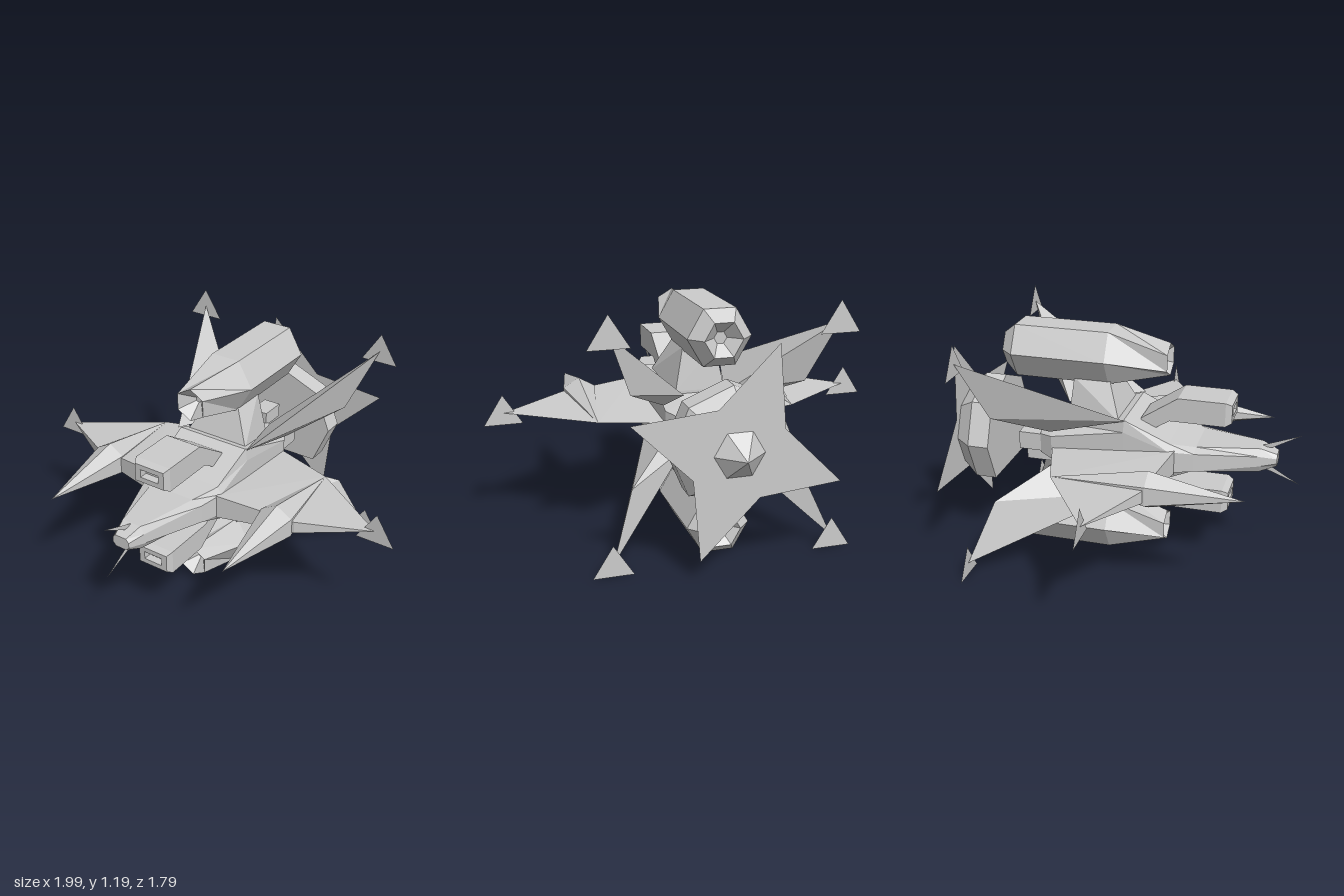
import * as THREE from 'three';
import { ConvexGeometry } from 'three/addons/geometries/ConvexGeometry.js';

const MID = 0.59; // height of the symmetry plane; part heights are offsets from it
const solid = new THREE.MeshStandardMaterial({ color: 0xcccccc, flatShading: true });
const sheet = new THREE.MeshStandardMaterial({ color: 0xcccccc, flatShading: true, side: THREE.DoubleSide });

// Closed skin through equal-length rings of [x, y, z], with fan caps, turned outward
function loft(rings) {
  const tris = [];
  const n = rings[0].length;
  for (let r = 0; r + 1 < rings.length; r++) {
    for (let i = 0; i < n; i++) {
      const j = (i + 1) % n;
      const [a, b, c, d] = [rings[r][i], rings[r][j], rings[r + 1][j], rings[r + 1][i]];
      tris.push([a, b, d], [b, c, d]);
    }
  }
  const last = rings[rings.length - 1];
  for (let i = 1; i + 1 < n; i++) {
    tris.push([rings[0][0], rings[0][i + 1], rings[0][i]], [last[0], last[i], last[i + 1]]);
  }
  let volume = 0;
  for (const [a, b, c] of tris) {
    volume += new THREE.Vector3(...a).dot(new THREE.Vector3(...b).cross(new THREE.Vector3(...c)));
  }
  if (volume < 0) tris.forEach((t) => t.reverse());
  const geo = new THREE.BufferGeometry();
  geo.setAttribute('position', new THREE.Float32BufferAttribute(tris.flat(2), 3));
  geo.computeVertexNormals();
  return geo;
}

const hull = (points) => new ConvexGeometry(points.map((p) => new THREE.Vector3(...p)));
const mirror = (points, sx, sy) => points.map(([x, y, z]) => [x * sx, y * sy, z]);
const ring = (n, r, z, turn = 0, cy = 0) => Array.from({ length: n }, (_, i) => {
  const a = turn + (i / n) * Math.PI * 2;
  return [r * Math.cos(a), cy + r * Math.sin(a), z];
});
const rect = (hw, y0, y1, z) => [[-hw, y0, z], [hw, y0, z], [hw, y1, z], [-hw, y1, z]];

export function createModel() {
  const model = new THREE.Group();
  const add = (name, geometry, material = solid) => {
    const mesh = new THREE.Mesh(geometry, material);
    mesh.name = name;
    mesh.position.y = MID;
    model.add(mesh);
    return mesh;
  };

  // Fuselage: z, half width, side band half height, top half width, top half height
  const stations = [
    [0.78, 0.045, 0.012, 0.03, 0.03], [0.7, 0.07, 0.025, 0.05, 0.06],
    [0.4, 0.17, 0.045, 0.12, 0.062], [0.28, 0.2, 0.055, 0.18, 0.09],
    [0.06, 0.2, 0.13, 0.19, 0.19], [-0.31, 0.19, 0.06, 0.1, 0.1], [-0.38, 0.15, 0.05, 0.09, 0.085],
  ];
  add('fuselage', loft(stations.map(([z, w, b, t, h]) => [
    [w, -b, z], [w, b, z], [t, h, z], [-t, h, z], [-w, b, z], [-w, -b, z], [-t, -h, z], [t, -h, z],
  ])));

  for (const s of [1, -1]) {
    // Hexagonal engine pod, recessed at both ends
    const cy = 0.45 * s;
    add('enginePod', loft([
      ring(6, 0.015, 0.17, Math.PI / 6, cy), ring(6, 0.082, 0.24, Math.PI / 6, cy),
      ring(6, 0.15, -0.05, 0, cy), ring(6, 0.15, -0.52, 0, cy),
      ring(6, 0.09, -0.585, 0, cy), ring(6, 0.03, -0.53, 0, cy),
    ]));
    add('podPylon', hull(mirror([
      ...rect(0.17, 0.12, 0.17, 0.03), ...rect(0.08, 0.25, 0.34, -0.04),
      ...rect(0.12, 0.1, 0.13, -0.24), ...rect(0.08, 0.25, 0.34, -0.22),
    ], 1, s)));

    // Forward gun: slanted arm, bevelled barrel and sunken muzzle
    const gun = [
      [[-0.095, 0.08, 0.12], [0.095, 0.08, 0.12], [0.095, 0.17, 0.12], [-0.095, 0.17, 0.12]],
      [[-0.095, 0.17, 0.26], [0.095, 0.17, 0.26], [0.095, 0.29, 0.3], [-0.095, 0.29, 0.3]],
      rect(0.095, 0.17, 0.29, 0.53), rect(0.08, 0.185, 0.275, 0.56),
      rect(0.05, 0.21, 0.25, 0.56), rect(0.05, 0.21, 0.25, 0.52),
    ];
    add('gun', loft(gun.map((r) => mirror(r, 1, s))));

    // Nose whisker
    const whisker = new THREE.BufferGeometry();
    whisker.setAttribute('position', new THREE.Float32BufferAttribute(
      [0, 0.05 * s, 0.68, 0, 0.05 * s, 0.75, 0, 0.13 * s, 0.89], 3));
    whisker.computeVertexNormals();
    add('noseWhisker', whisker, sheet);
  }

  // Thin triangular plate carried on every wing tip
  const plate = new THREE.ShapeGeometry(new THREE.Shape([
    new THREE.Vector2(0, 0.09), new THREE.Vector2(-0.095, -0.06), new THREE.Vector2(0.095, -0.06),
  ]));
  const addPlate = (x, y, z) => add('tipPlate', plate, sheet).position.set(x, MID + y, z);

  for (const sx of [1, -1]) {
    // Horizontal wing, inner and outer panels
    add('innerWing', hull(mirror([
      [0.19, 0.06, 0.31], [0.19, -0.06, 0.31], [0.19, 0, -0.305],
      [0.49, 0.035, 0.26], [0.49, -0.035, 0.26], [0.49, 0, -0.21],
    ], sx, 1)));
    add('outerWing', hull(mirror([
      [0.49, 0.035, 0.26], [0.49, -0.035, 0.26], [0.49, 0, -0.21],
      [0.58, 0.03, 0.25], [0.58, -0.03, 0.25], [0.9, 0, 0.07],
    ], sx, 1)));
    // Spiked pod on the wing
    add('wingSpike', hull([
      [0.49 * sx, 0, 0.7], [0.49 * sx, 0, -0.21],
      ...ring(6, 0.092, 0.26, Math.PI / 6).map(([x, y, z]) => [x + 0.49 * sx, y, z]),
    ]));
    addPlate(0.9 * sx, 0, 0.07);

    // Swept diagonal fins
    for (const sy of [1, -1]) {
      add('diagonalFin', hull(mirror([
        [0.2, 0.19, 0.07], [0.2, 0.09, -0.31], [0.1, 0.13, -0.31],
        [0.41, 0.22, -0.53], [0.525, 0.52, -0.64],
      ], sx, sy)));
      addPlate(0.525 * sx, 0.52 * sy, -0.64);
    }
  }

  // Rear nozzles in a diamond
  for (let i = 0; i < 4; i++) {
    const a = (i * Math.PI) / 2;
    const nozzle = add('rearNozzle', new THREE.BoxGeometry(0.07, 0.09, 0.13));
    nozzle.position.set(0.11 * Math.cos(a), MID + 0.11 * Math.sin(a), -0.43);
    nozzle.rotation.z = a;
  }

  // Detached rear drum: an eight-sided outline with its lowest corner cut off
  const drum = (r, z) => ring(8, r, z).filter((_, i) => i !== 6);
  add('rearDrum', loft([drum(0.285, -0.61), drum(0.285, -0.715), drum(0.215, -0.8)]));
  add('rearCone', hull([...ring(6, 0.12, -0.8), [0, 0, -0.905]]));

  // Four-pointed star plate behind the drum
  const star = new THREE.Shape(Array.from({ length: 8 }, (_, i) => {
    const a = THREE.MathUtils.degToRad(20 + i * 45);
    const r = i % 2 ? 0.23 : 0.51;
    return new THREE.Vector2(r * Math.cos(a), r * Math.sin(a));
  }));
  add('starPlate', new THREE.ShapeGeometry(star), sheet).position.z = -0.803;

  return model;
}
